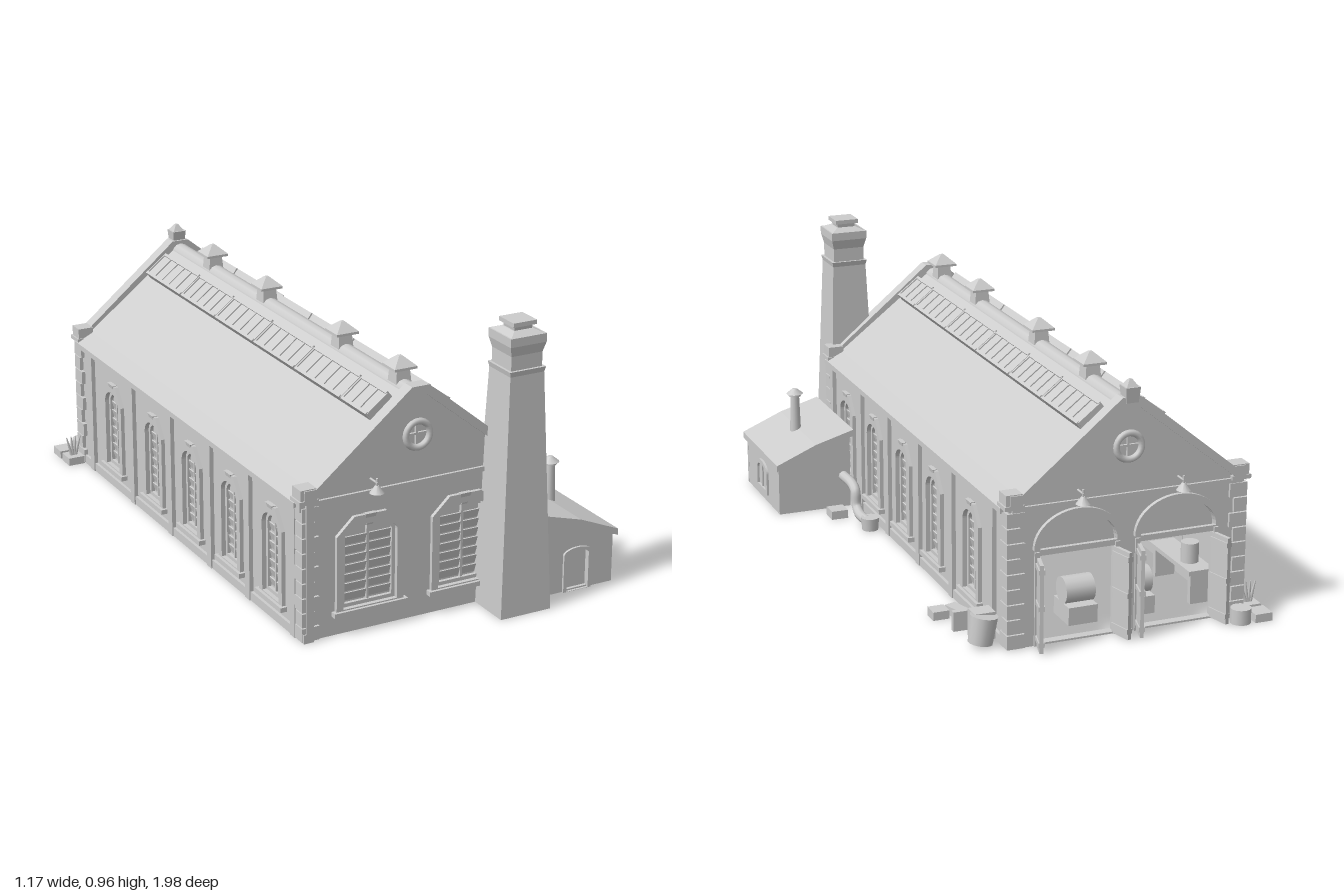
import * as THREE from 'three';

const stone = new THREE.MeshStandardMaterial({ color: 0xcccccc, side: THREE.DoubleSide });
stone.name = 'pale grey';

function add(parent, name, geo, x = 0, y = 0, z = 0, rx = 0, ry = 0, rz = 0) {
  const m = new THREE.Mesh(geo, stone);
  m.name = name;
  m.position.set(x, y, z);
  m.rotation.set(rx, ry, rz);
  parent.add(m);
  return m;
}
const group = (parent, name, x = 0, y = 0, z = 0, ry = 0) => {
  const g = new THREE.Group();
  g.name = name;
  g.position.set(x, y, z);
  g.rotation.y = ry;
  parent.add(g);
  return g;
};
const box = (w, h, d) => new THREE.BoxGeometry(w, h, d);
const cyl = (r0, r1, h, n = 14) => new THREE.CylinderGeometry(r0, r1, h, n);
const poly = (pts) => new THREE.Shape(pts.map(([x, y]) => new THREE.Vector2(x, y)));
const slab = (shape, depth) => new THREE.ExtrudeGeometry(shape, { depth, bevelEnabled: false, curveSegments: 12 });

// Square tapering block standing on y = 0
function frustum(top, bottom, h) {
  const g = new THREE.CylinderGeometry(top * Math.SQRT1_2, bottom * Math.SQRT1_2, h, 4).toNonIndexed();
  g.rotateY(Math.PI / 4).translate(0, h / 2, 0);
  g.computeVertexNormals();
  return g;
}

// Opening with straight sides and a curved head
function arch(cx, w, y0, spring, rise, Type = THREE.Path) {
  const p = new Type();
  p.moveTo(cx - w / 2, y0);
  p.lineTo(cx + w / 2, y0);
  p.lineTo(cx + w / 2, spring);
  p.absellipse(cx, spring, w / 2, rise, 0, Math.PI, false, 0);
  p.closePath();
  return p;
}

// Louvred window facing +z, its wall face at z = 0
function windowUnit(parent, cx, w, y0, spring, rise) {
  const g = group(parent, 'window', cx);
  const o = w / 2 + 0.024, top = spring + rise + 0.03;
  const surround = poly([[-o, y0 - 0.01], [o, y0 - 0.01], [o, spring + 0.012], [w * 0.3, top], [-w * 0.3, top], [-o, spring + 0.012]]);
  surround.holes.push(arch(0, w, y0, spring, rise));
  add(g, 'windowSurround', slab(surround, 0.014), 0, 0, -0.001);
  const inner = arch(0, w, y0, spring, rise, THREE.Shape);
  inner.holes.push(arch(0, w - 0.024, y0 + 0.012, spring, rise - 0.012));
  add(g, 'windowFrame', slab(inner, 0.012), 0, 0, -0.014);
  add(g, 'windowPane', slab(arch(0, w, y0, spring, rise, THREE.Shape), 0.004), 0, 0, -0.022);
  add(g, 'windowSill', box(w + 0.07, 0.016, 0.03), 0, y0 - 0.012, 0.008);
  add(g, 'windowMullion', box(0.008, spring + rise - y0, 0.012), 0, (y0 + spring + rise) / 2, -0.012);
  for (let i = 1; i < 8; i++) {
    add(g, 'windowSlat', box(w - 0.02, 0.03, 0.004), 0, y0 + i * (spring - y0) / 7.5, -0.013, 0.3);
  }
  add(g, 'windowKeystone', frustum(0.04, 0.02, 0.04), 0, spring + rise - 0.008, -0.002).scale.z = 0.9;
}

function lamp(parent, x, y, z, dir) {
  const g = group(parent, 'wallLamp', x, y, z);
  add(g, 'lampArm', cyl(0.004, 0.004, 0.05, 6), 0, 0.02, dir * 0.02, Math.PI / 2);
  add(g, 'lampShade', cyl(0.006, 0.024, 0.024, 10), 0, 0, dir * 0.04);
  add(g, 'lampStem', cyl(0.004, 0.004, 0.03, 6), 0, 0.02, dir * 0.04);
}

// Gable wall facing +z with given openings
function gable(parent, name, z, ry, holes) {
  const g = group(parent, name, 0, 0, z, ry);
  const wall = poly([[-0.4, 0], [0.4, 0], [0.4, 0.48], [0.36, 0.49], [0.03, 0.755], [-0.03, 0.755], [-0.36, 0.49], [-0.4, 0.48]]);
  wall.holes.push(...holes);
  const eye = new THREE.Path();
  eye.absarc(0, 0.615, 0.04, 0, Math.PI * 2);
  wall.holes.push(eye);
  add(g, name + 'Panel', slab(wall, 0.03), 0, 0, -0.03);
  add(g, 'gableCoping', slab(poly([[-0.4, 0.475], [-0.36, 0.475], [-0.025, 0.745], [0.025, 0.745], [0.36, 0.475], [0.4, 0.475],
    [0.4, 0.507], [0.36, 0.507], [0.03, 0.778], [-0.03, 0.778], [-0.36, 0.507], [-0.4, 0.507]]), 0.045), 0, 0, -0.03);
  add(g, 'gableBand', box(0.78, 0.016, 0.012), 0, 0.458, 0.003);
  // Round window
  add(g, 'roundWindowRim', new THREE.TorusGeometry(0.043, 0.011, 8, 24), 0, 0.615, 0);
  add(g, 'roundWindowPane', cyl(0.04, 0.04, 0.006, 20), 0, 0.615, -0.016, Math.PI / 2);
  add(g, 'roundWindowBar', box(0.007, 0.08, 0.01), 0, 0.615, -0.01);
  add(g, 'roundWindowBar', box(0.08, 0.007, 0.01), 0, 0.615, -0.01);
  return g;
}

export function createModel() {
  const root = new THREE.Group();
  root.name = 'engineHouse';
  const hall = group(root, 'hall', -0.12);

  // Front gable with two windows
  const fx = [-0.17, 0.17];
  const front = gable(hall, 'frontGable', 0.845, 0, fx.map((x) => arch(x, 0.19, 0.085, 0.32, 0.04)));
  fx.forEach((x) => windowUnit(front, x, 0.19, 0.085, 0.32, 0.04));
  lamp(hall, -0.165, 0.48, 0.845, 1);

  // Back gable with two arched doorways and open door leaves
  const back = gable(hall, 'backGable', -0.885, Math.PI, fx.map((x) => arch(x, 0.26, 0.006, 0.32, 0.1)));
  fx.forEach((x) => {
    const ring = arch(x, 0.3, 0.32, 0.321, 0.12, THREE.Shape);
    ring.holes.push(arch(x, 0.26, 0.3205, 0.322, 0.098));
    add(back, 'doorArch', slab(ring, 0.014));
    add(back, 'fanlight', slab(arch(x, 0.26, 0.3, 0.32, 0.1, THREE.Shape), 0.008), 0, 0, -0.022);
    add(back, 'doorLintel', box(0.27, 0.018, 0.024), x, 0.305, -0.012);
    for (const s of [-1, 1]) {
      const leaf = group(back, 'doorLeaf', x + s * 0.13, 0, 0, s * 0.25);
      add(leaf, 'doorPanel', box(0.012, 0.29, 0.08), 0, 0.148, 0.035);
      for (const y of [0.03, 0.15, 0.27]) add(leaf, 'doorRail', box(0.02, 0.016, 0.08), 0, y, 0.035);
      add(back, 'doorJamb', box(0.016, 0.31, 0.034), x + s * 0.136, 0.155, -0.01);
    }
    lamp(hall, x, 0.475, -0.885, -1);
    add(hall, 'pendantLamp', cyl(0.006, 0.026, 0.03, 10), x, 0.33, -0.74);
    add(hall, 'pendantCord', cyl(0.003, 0.003, 0.22, 6), x, 0.45, -0.74);
  });
  add(hall, 'gableFinial', frustum(0.05, 0.04, 0.05), 0, 0.76, -0.885);
  add(hall, 'gableFinialCap', frustum(0.01, 0.04, 0.022), 0, 0.81, -0.885);

  // Side walls: five windowed bays between pilasters
  const bays = [0.64, 0.35, 0.055, -0.24, -0.575];
  for (const s of [-1, 1]) {
    const side = group(hall, s > 0 ? 'leftWall' : 'rightWall', s * 0.395, 0, 0, s * Math.PI / 2);
    const wall = poly([[-0.86, 0], [0.86, 0], [0.86, 0.465], [-0.86, 0.465]]);
    bays.forEach((z) => wall.holes.push(arch(-s * z, 0.11, 0.075, 0.31, 0.045)));
    add(side, 'sideWallPanel', slab(wall, 0.025), 0, 0, -0.025);
    bays.forEach((z) => windowUnit(side, -s * z, 0.11, 0.075, 0.31, 0.045));
    [0.79, 0.48, 0.2, -0.1, -0.41, -0.76].forEach((z) => add(side, 'pilaster', box(0.032, 0.45, 0.02), -s * z, 0.225, 0.004));
    add(side, 'eaveBand', box(1.7, 0.022, 0.024), 0, 0.448, 0.006);
    add(side, 'plinth', box(1.72, 0.03, 0.012), 0, 0.015, 0.004);
    // Corner quoins and caps
    for (const z of [0.835, -0.875]) {
      for (let i = 0; i < 9; i++) {
        const k = i % 2 ? 0.045 : 0.06;
        add(hall, 'quoin', box(k, 0.046, k), s * (0.408 - k / 2), 0.026 + i * 0.05, z + Math.sign(z) * (0.02 - k / 2));
      }
      add(hall, 'cornerCap', box(0.055, 0.05, 0.055), s * 0.385, 0.485, z - Math.sign(z) * 0.007);
      add(hall, 'cornerCapTrim', box(0.066, 0.014, 0.064), s * 0.385, 0.468, z - Math.sign(z) * 0.007);
    }
  }

  // Roof shell, extruded along the ridge
  const edge = [[0.42, 0.462], [0.36, 0.49], [0.03, 0.745], [0, 0.755]];
  const flip = ([x, y]) => [-x, y];
  const outer = [...edge, ...edge.slice(0, 3).reverse().map(flip)];
  const roof = poly([...outer, ...outer.slice().reverse().map(([x, y]) => [x, y - 0.018])]);
  add(hall, 'roof', slab(roof, 1.69), 0, 0, -0.865);
  add(hall, 'ridgeCap', cyl(0.032, 0.032, 1.68, 12), 0, 0.735, -0.02, Math.PI / 2);

  // Glazed roof strips either side of the ridge
  const cuts = [0.79, 0.62, 0.31, 0.02, -0.27, -0.54, -0.83];
  for (const s of [-1, 1]) {
    const strip = group(hall, 'skylightStrip', s * 0.1, 0.703, 0);
    strip.rotation.z = -s * 0.66;
    for (let i = 0; i < 6; i++) {
      const len = cuts[i] - cuts[i + 1] - 0.01, z = (cuts[i] + cuts[i + 1]) / 2;
      add(strip, 'skylightPanel', box(0.088, 0.028, len), 0, 0, z);
      for (const x of [-0.045, 0.045]) add(strip, 'skylightRail', box(0.01, 0.04, len), x, 0, z);
      const n = Math.round(len / 0.055);
      for (let k = 0; k <= n; k++) add(strip, 'skylightBar', box(0.09, 0.036, 0.007), 0, 0, z - len / 2 + k * len / n);
    }
  }

  // Ridge vents
  for (const z of [0.73, 0.36, -0.17, -0.585]) {
    const vent = group(hall, 'ridgeVent', 0, 0.745, z);
    add(vent, 'ventBody', frustum(0.045, 0.055, 0.06));
    add(vent, 'ventRim', box(0.08, 0.008, 0.08), 0, 0.058, 0);
    add(vent, 'ventCap', frustum(0.012, 0.08, 0.03), 0, 0.062, 0);
  }

  // Square tapering chimney
  const stack = group(root, 'chimney', 0.193, 0, 0.908);
  add(stack, 'chimneyShaft', frustum(0.122, 0.184, 0.8));
  add(stack, 'chimneyNeck', frustum(0.112, 0.112, 0.12), 0, 0.79, 0);
  add(stack, 'chimneyBand', frustum(0.13, 0.122, 0.018), 0, 0.795, 0);
  add(stack, 'chimneyCorbel', frustum(0.13, 0.112, 0.035), 0, 0.86, 0);
  add(stack, 'chimneyCollar', frustum(0.13, 0.13, 0.028), 0, 0.893, 0);
  add(stack, 'chimneyShoulder', frustum(0.07, 0.12, 0.012), 0, 0.921, 0);
  add(stack, 'chimneyPot', frustum(0.068, 0.06, 0.03), 0, 0.925, 0);
  add(stack, 'chimneyLid', frustum(0.084, 0.084, 0.014), 0, 0.947, 0);

  // Lean-to shed
  const shed = group(root, 'shed');
  const end = () => poly([[0.31, 0], [0.575, 0], [0.575, 0.17], [0.31, 0.265]]);
  const doorway = end();
  doorway.holes.push(arch(0.438, 0.082, 0.006, 0.125, 0.014));
  add(shed, 'shedFront', slab(doorway, 0.015), 0, 0, 0.9);
  add(shed, 'shedDoor', slab(arch(0.438, 0.082, 0.006, 0.125, 0.014, THREE.Shape), 0.006), 0, 0, 0.898);
  const frame = arch(0.438, 0.106, 0, 0.128, 0.022, THREE.Shape);
  frame.holes.push(arch(0.438, 0.082, 0.001, 0.125, 0.014));
  add(shed, 'shedDoorFrame', slab(frame, 0.01), 0, 0, 0.913);
  add(shed, 'shedBack', slab(end(), 0.015), 0, 0, 0.53);
  add(shed, 'shedInnerWall', box(0.015, 0.26, 0.37), 0.317, 0.13, 0.722);
  add(shed, 'shedOuterWall', box(0.015, 0.17, 0.37), 0.567, 0.085, 0.722);
  const shedSide = group(shed, 'shedWindow', 0.575, 0, 0.72, Math.PI / 2);
  const rim = arch(0, 0.13, 0.03, 0.11, 0.035, THREE.Shape);
  rim.holes.push(arch(0, 0.096, 0.045, 0.105, 0.025));
  add(shedSide, 'shedWindowFrame', slab(rim, 0.008));
  add(shedSide, 'shedWindowBar', box(0.007, 0.085, 0.006), 0, 0.088, 0.002);
  add(shed, 'shedRoof', slab(poly([[0.3, 0.265], [0.44, 0.222], [0.585, 0.165], [0.585, 0.187], [0.44, 0.248], [0.3, 0.288]]), 0.415), 0, 0, 0.515);
  add(shed, 'stovePipe', cyl(0.015, 0.02, 0.16), 0.447, 0.305, 0.73);
  add(shed, 'stovePipeCap', cyl(0.008, 0.03, 0.018), 0.447, 0.386, 0.73);
  add(shed, 'stovePipeRim', cyl(0.022, 0.022, 0.01), 0.447, 0.373, 0.73);

  // Drain pipe, barrel and crate behind the shed
  const run = [[0.53, 0.115], [0.43, 0.115], [0.4, 0.1], [0.39, 0.05], [0.36, 0.03], [0.28, 0.03]];
  const path = new THREE.CatmullRomCurve3(run.map(([z, y]) => new THREE.Vector3(0.335, y, z)));
  add(root, 'drainPipe', new THREE.TubeGeometry(path, 30, 0.018, 10));
  add(root, 'drainBarrel', cyl(0.032, 0.028, 0.045), 0.325, 0.0225, 0.275);
  add(root, 'crate', box(0.06, 0.03, 0.06), 0.39, 0.015, 0.44);

  // Yard goods by the back corners
  add(root, 'yardBarrel', cyl(0.045, 0.04, 0.09), 0.34, 0.055, -0.82, 0, 0, 0.15);
  add(root, 'yardBox', box(0.07, 0.09, 0.06), 0.33, 0.06, -0.79);
  add(root, 'yardPlank', box(0.09, 0.065, 0.02), 0.34, 0.033, -0.68);
  add(root, 'yardCrate', box(0.04, 0.03, 0.08), 0.325, 0.015, -0.57, 0, 0.3);
  add(root, 'yardCrate', box(0.055, 0.028, 0.055), 0.385, 0.014, -0.555);
  for (const z of [-0.945, -0.865]) add(root, 'planter', box(0.06, 0.028, 0.065), -0.56, 0.014, z);
  add(root, 'yardDrum', cyl(0.034, 0.034, 0.05), -0.49, 0.025, -0.95);
  for (let i = 0; i < 4; i++) add(root, 'tool', cyl(0.002, 0.007, 0.075, 6), -0.575 + i * 0.011, 0.06, -0.865, 0, 0, 0.25 - i * 0.18);

  // Machines and benches inside, near the doors
  for (const s of [-1, 1]) {
    add(hall, 'workbench', box(0.09, 0.015, 0.3), s * 0.32, 0.11, -0.62);
    for (const z of [-0.75, -0.49]) add(hall, 'benchLeg', box(0.07, 0.105, 0.02), s * 0.32, 0.053, z);
    add(hall, 'benchTank', cyl(0.03, 0.03, 0.07), s * 0.32, 0.15, -0.68);
    add(hall, 'machineBase', box(0.1, 0.06, 0.12), s * 0.1, 0.03, -0.72);
    add(hall, 'machineDrum', cyl(0.045, 0.045, 0.1), s * 0.1, 0.1, -0.72, 0, 0, Math.PI / 2);
  }
  return root;
}
